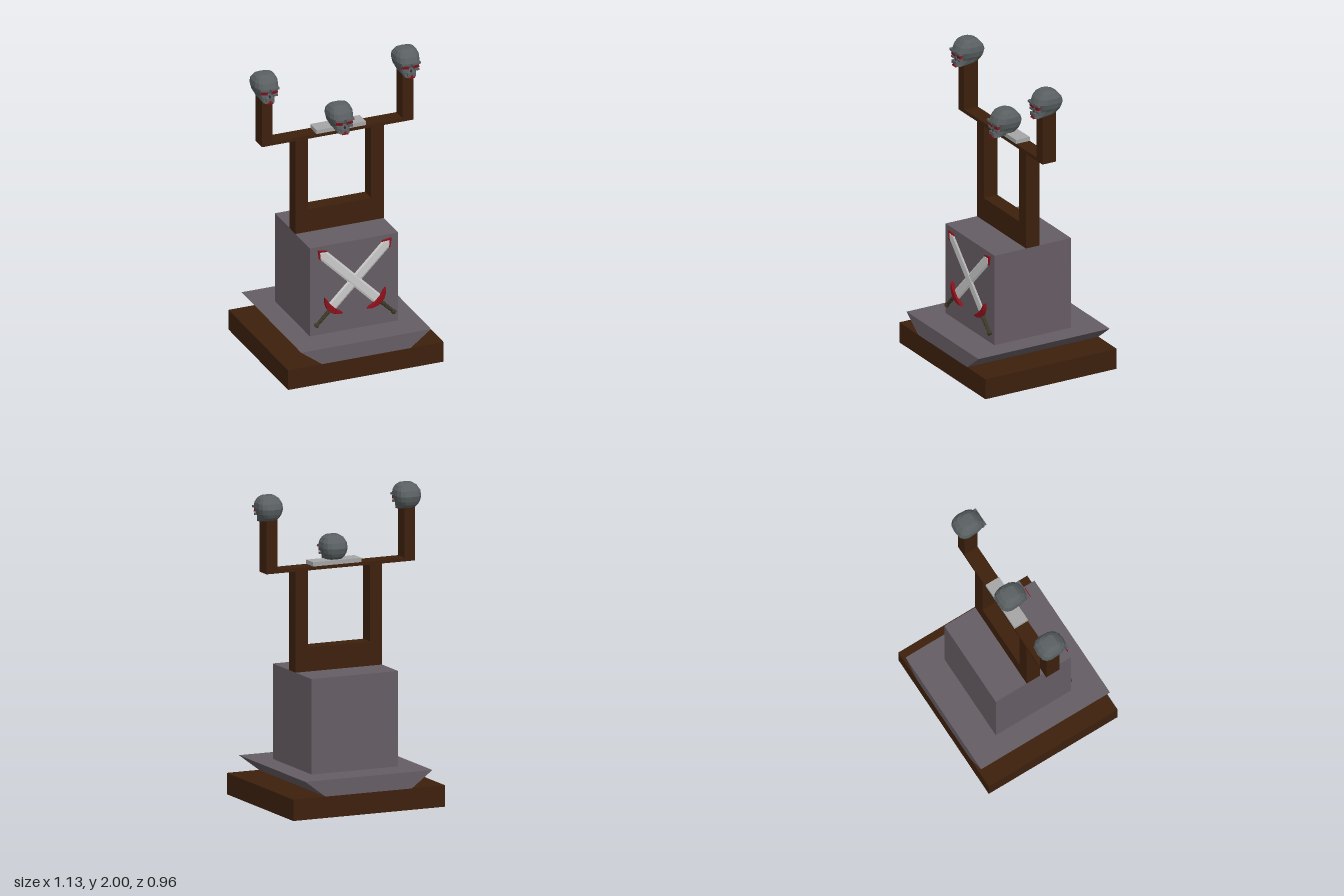
import * as THREE from 'three';

const mat = (color) => new THREE.MeshStandardMaterial({ color, flatShading: true });
const WOOD = mat(0x3d200d), STONE = mat(0x665d64), BONE = mat(0x5a6062), RED = mat(0x8c101a);
const STEEL = mat(0xcccccc), PLATE = mat(0xa6a6a6), GRIP = mat(0x3c3827), DARK = mat(0x2a2c2e);

function add(parent, name, geometry, material, x = 0, y = 0, z = 0) {
  const mesh = new THREE.Mesh(geometry, material);
  mesh.name = name;
  mesh.position.set(x, y, z);
  parent.add(mesh);
  return mesh;
}

// Box given by its extents
function block(parent, name, material, x0, x1, y0, y1, z0, z1) {
  return add(parent, name, new THREE.BoxGeometry(x1 - x0, y1 - y0, z1 - z0), material,
    (x0 + x1) / 2, (y0 + y1) / 2, (z0 + z1) / 2);
}

function outline(points) {
  return new THREE.Shape(points.map(([x, y]) => new THREE.Vector2(x, y)));
}

function extrude(points, depth, bevel = 0) {
  return new THREE.ExtrudeGeometry(outline(points), {
    depth, bevelEnabled: bevel > 0, bevelThickness: bevel * 0.4, bevelSize: bevel,
    bevelOffset: -bevel, bevelSegments: 1, curveSegments: 8,
  });
}

// Faceted head lofted from squarish horizontal rings
function headGeometry() {
  // height, half width, back z, front z, narrowing of the face
  const rows = [
    [0.004, 0, 0.075, 0.075, 0], [0.004, 0.038, 0.045, 0.1, 0], [0.022, 0.054, -0.05, 0.1, 0.3],
    [0.045, 0.064, -0.078, 0.092, 0.3], [0.066, 0.075, -0.088, 0.086, 0.15],
    [0.1, 0.083, -0.097, 0.1, 0.1], [0.135, 0.08, -0.085, 0.086, 0.1],
    [0.163, 0.063, -0.06, 0.06, 0], [0.178, 0.04, -0.025, 0.04, 0], [0.18, 0, 0.005, 0.005, 0],
  ];
  const n = 14, pos = [], idx = [];
  const square = (v) => Math.sign(v) * Math.abs(v) ** 0.65;
  rows.forEach(([y, w, back, front, taper], r) => {
    for (let i = 0; i < n; i++) {
      const a = ((i + 0.5) / n) * Math.PI * 2;
      const s = square(Math.sin(a));
      pos.push(w * square(Math.cos(a)) * (1 - taper * Math.max(0, s)), y,
        (back + front) / 2 + (s * (front - back)) / 2);
      if (r === rows.length - 1) continue;
      const p = r * n + i, q = r * n + ((i + 1) % n);
      idx.push(p, p + n, q, q, p + n, q + n);
    }
  });
  const g = new THREE.BufferGeometry();
  g.setAttribute('position', new THREE.Float32BufferAttribute(pos, 3));
  g.setIndex(idx);
  g.computeVertexNormals();
  return g;
}

function makeSkull(name, x, y, z) {
  const skull = new THREE.Group();
  skull.name = name;
  skull.position.set(x, y, z);
  add(skull, 'cranium', headGeometry(), BONE);
  for (const s of [-1, 1]) {
    const side = s > 0 ? 'left' : 'right';
    // Eye sockets, brows and cheekbones
    const eye = add(skull, side + 'Eye', new THREE.BoxGeometry(0.042, 0.023, 0.014), RED, s * 0.034, 0.073, 0.084);
    eye.rotation.z = s * 0.15;
    add(skull, side + 'Pupil', new THREE.BoxGeometry(0.016, 0.009, 0.008), DARK, s * 0.034, 0.073, 0.089);
    const brow = add(skull, side + 'Brow', new THREE.BoxGeometry(0.056, 0.014, 0.02), BONE, s * 0.035, 0.094, 0.09);
    brow.rotation.z = s * 0.12;
    add(skull, side + 'Cheek', new THREE.BoxGeometry(0.03, 0.014, 0.02), BONE, s * 0.04, 0.05, 0.082);
  }
  const nose = add(skull, 'nose', new THREE.ConeGeometry(0.013, 0.024, 3), DARK, 0, 0.05, 0.092);
  nose.scale.z = 0.5;
  add(skull, 'upperJaw', new THREE.BoxGeometry(0.055, 0.024, 0.016), BONE, 0, 0.026, 0.096);
  add(skull, 'mouth', new THREE.BoxGeometry(0.04, 0.008, 0.05), RED, 0, 0.004, 0.08);
  add(skull, 'teeth', new THREE.BoxGeometry(0.012, 0.016, 0.006), RED, 0, 0.014, 0.104);
  return skull;
}

// Sword running up +y from its pommel
function makeSword(name) {
  const sword = new THREE.Group();
  sword.name = name;
  const w = 0.034;
  add(sword, 'blade', extrude([[-w, 0.15], [w, 0.15], [w, 0.69], [0, 0.733], [-w, 0.69]], 0.002, 0.012), STEEL, 0, 0, 0.004);
  // Red edging around the point
  add(sword, 'tip', extrude([[w, 0.68], [w + 0.002, 0.692], [0, 0.74], [-w - 0.002, 0.692],
    [-w, 0.68], [-w + 0.006, 0.69], [0, 0.722], [w - 0.006, 0.69]], 0.011), RED);
  // Crescent guard sweeping toward the blade
  const guard = new THREE.Shape();
  guard.moveTo(-0.084, 0.178);
  guard.quadraticCurveTo(-0.045, 0.135, 0, 0.134);
  guard.quadraticCurveTo(0.045, 0.135, 0.084, 0.178);
  guard.lineTo(0.07, 0.178);
  guard.quadraticCurveTo(0.035, 0.165, 0, 0.168);
  guard.quadraticCurveTo(-0.035, 0.165, -0.07, 0.178);
  add(sword, 'guard', new THREE.ExtrudeGeometry(guard, {
    depth: 0.016, bevelThickness: 0.004, bevelSize: 0.003, bevelSegments: 1, curveSegments: 5,
  }), RED, 0, 0, 0.004);
  // Ribbed grip with a wider pommel
  const profile = [[0, 0], [0.014, 0.002], [0.017, 0.012], [0.013, 0.024], [0.01, 0.03], [0.013, 0.055],
    [0.011, 0.06], [0.014, 0.085], [0.011, 0.09], [0.014, 0.115], [0.011, 0.138], [0, 0.14]];
  add(sword, 'grip', new THREE.LatheGeometry(profile.map(([x, y]) => new THREE.Vector2(x, y)), 8), GRIP, 0, 0, 0.013);
  return sword;
}

export function createModel() {
  const model = new THREE.Group();
  model.name = 'skullThrone';

  // Base, flared step and seat block
  block(model, 'base', WOOD, -0.525, 0.537, 0, 0.137, -0.48, 0.48);
  add(model, 'flaredStep', extrude([[-0.292, 0.137], [0.312, 0.137], [0.452, 0.243], [-0.435, 0.243]], 0.96), STONE, 0, 0, -0.48);
  block(model, 'pedestal', STONE, -0.292, 0.312, 0.243, 0.855, -0.28, 0.28);

  // Back frame: one outline with a window, plus the thin crossbar and its uprights
  const frame = outline([[-0.292, 0.855], [0.312, 0.855], [0.312, 1.505], [0.225, 1.505],
    [0.225, 1.01], [-0.207, 1.01], [-0.207, 1.505], [-0.292, 1.505]]);
  add(model, 'backFrame', new THREE.ExtrudeGeometry(frame, { depth: 0.1, bevelEnabled: false }), WOOD, 0, 0, -0.05);
  block(model, 'crossbar', WOOD, -0.522, 0.515, 1.503, 1.525, -0.05, 0.05);
  block(model, 'rightUpright', WOOD, -0.522, -0.45, 1.525, 1.848, -0.05, 0.05);
  block(model, 'leftUpright', WOOD, 0.44, 0.515, 1.525, 1.848, -0.05, 0.05);
  block(model, 'plate', PLATE, -0.148, 0.19, 1.525, 1.552, -0.05, 0.05);

  // Skulls on the uprights and the plate
  model.add(makeSkull('rightSkull', -0.485, 1.82, 0));
  model.add(makeSkull('leftSkull', 0.481, 1.82, 0));
  model.add(makeSkull('middleSkull', 0.017, 1.525, 0.025));

  // Crossed swords on the front of the pedestal
  for (const s of [-1, 1]) {
    const sword = makeSword(s < 0 ? 'rightHiltSword' : 'leftHiltSword');
    sword.position.set(0.012 + s * 0.272, 0.308, s < 0 ? 0.28 : 0.282);
    sword.rotation.z = s * Math.PI / 4;
    model.add(sword);
  }
  return model;
}
